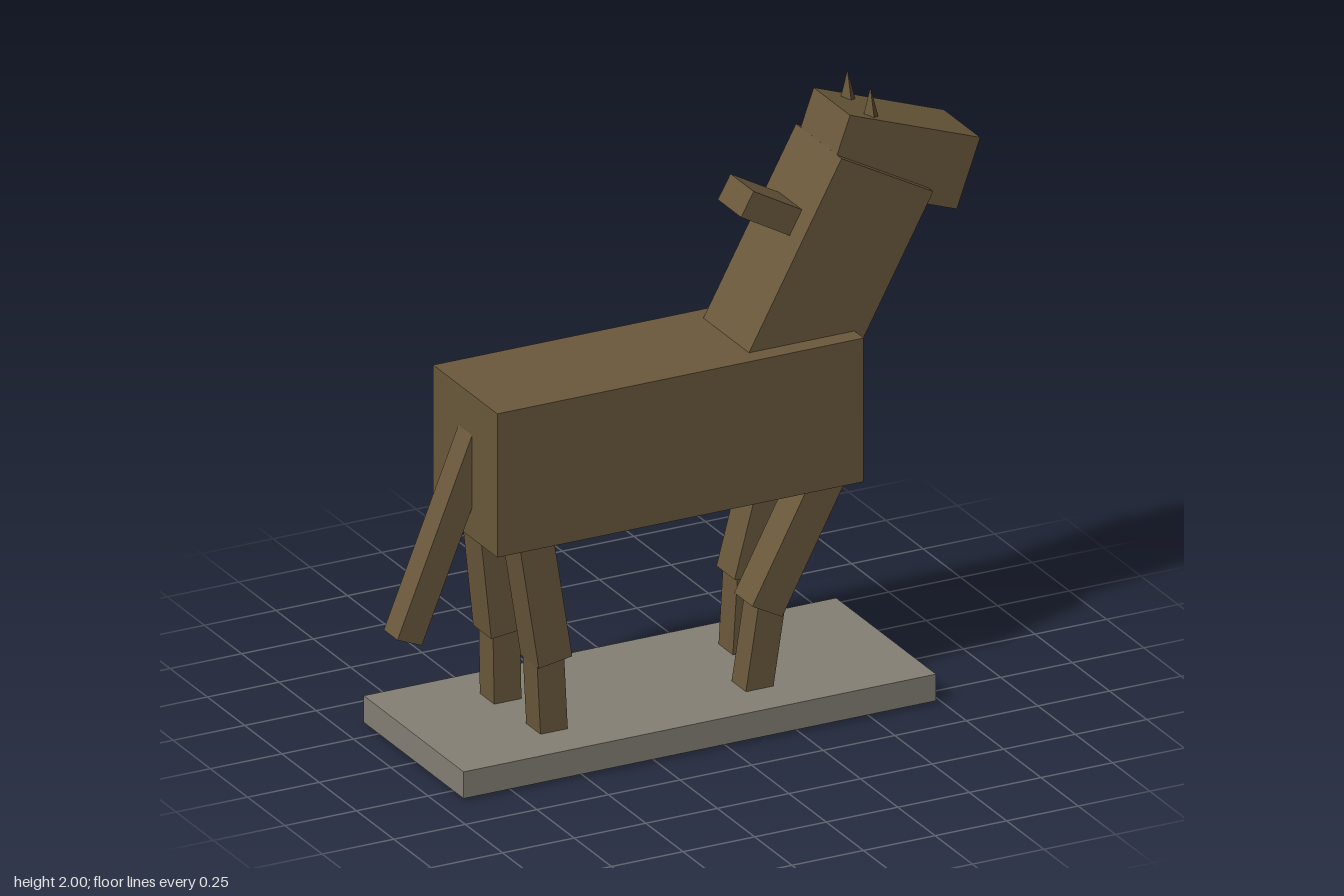
import * as THREE from 'three';

export function createModel() {
  const group = new THREE.Group();
  const coat = new THREE.MeshStandardMaterial({ color: 0x6b593c });
  coat.name = 'brown coat';
  const stone = new THREE.MeshStandardMaterial({ color: 0x858075 });
  stone.name = 'grey base';

  function add(name, geometry, material, x, y, z) {
    const mesh = new THREE.Mesh(geometry, material);
    mesh.name = name;
    mesh.position.set(x, y, z);
    group.add(mesh);
    return mesh;
  }

  // Box whose long axis runs between two points in the side plane
  function limb(name, [x0, y0], [x1, y1], width, depth, z = 0) {
    const length = Math.hypot(x1 - x0, y1 - y0);
    const mesh = add(name, new THREE.BoxGeometry(width, length, depth), coat,
      (x0 + x1) / 2, (y0 + y1) / 2, z);
    mesh.rotation.z = Math.atan2(x0 - x1, y1 - y0);
    return mesh;
  }

  // Base and body
  add('base', new THREE.BoxGeometry(1.65, 0.09, 0.67), stone, -0.095, 0.053, 0);
  add('body', new THREE.BoxGeometry(1.28, 0.485, 0.43), coat, -0.1, 0.982, 0);

  // Neck, mane stub and tail
  limb('neck', [0.295, 1.07], [0.655, 1.728], 0.365, 0.306);
  limb('mane', [0.465, 1.543], [0.205, 1.69], 0.09, 0.156);
  limb('tail', [-0.958, 0.43], [-0.685, 1.1], 0.092, 0.092);

  // Head, tilted nose down
  const head = add('head', new THREE.BoxGeometry(0.484, 0.24, 0.244), coat, 0.727, 1.745, 0);
  head.rotation.z = -THREE.MathUtils.degToRad(20);

  // Four-sided pointed ears
  for (const side of [1, -1]) {
    add(side > 0 ? 'rightEar' : 'leftEar',
      new THREE.ConeGeometry(0.032, 0.12, 4).toNonIndexed(), coat, 0.635, 1.94, side * 0.077)
      .geometry.computeVertexNormals();
  }

  // Legs: hip, knee, lower leg top, foot
  const legs = [
    ['frontRight', 1, [0.424, 0.759], [0.2115, 0.36], [0.237, 0.383], [0.178, 0.0075]],
    ['frontLeft', -1, [0.414, 0.775], [0.298, 0.341], [0.306, 0.383], [0.283, 0.003]],
    ['hindRight', 1, [-0.598, 0.78], [-0.528, 0.337], [-0.54, 0.38], [-0.521, 0.004]],
    ['hindLeft', -1, [-0.597, 0.78], [-0.55, 0.332], [-0.55, 0.38], [-0.543, 0.002]],
  ];
  for (const [name, side, hip, knee, shin, foot] of legs) {
    limb(name + 'UpperLeg', knee, hip, 0.118, 0.122, side * 0.138);
    limb(name + 'LowerLeg', foot, shin, 0.095, 0.096, side * 0.137);
  }
  return group;
}
